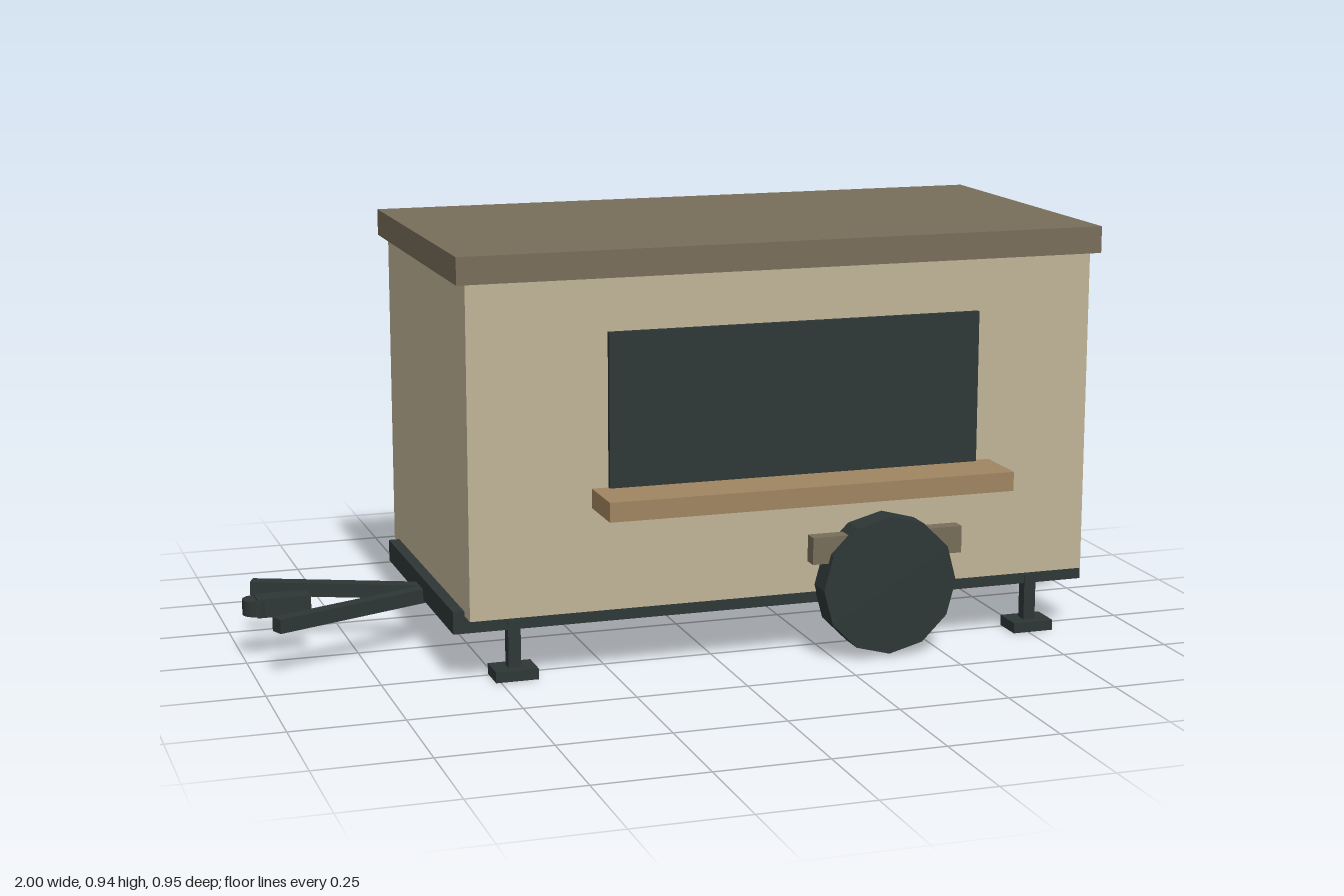
import * as THREE from 'three';

const material = (name, color) => {
  const m = new THREE.MeshStandardMaterial({ color });
  m.name = name;
  return m;
};

export function createModel() {
  const cream = material('cream', 0xbfb496);
  const brown = material('brown', 0x776d59);
  const charcoal = material('charcoal', 0x2d3636);
  const green = material('green', 0x566458);
  const wood = material('wood', 0xa08560);

  const group = new THREE.Group();
  group.name = 'foodTrailer';
  const midZ = -0.037; // centre line of the trailer

  const add = (name, geometry, mat) => {
    const mesh = new THREE.Mesh(geometry, mat);
    mesh.name = name;
    group.add(mesh);
    return mesh;
  };
  // Box given by its extents on each axis
  const box = (name, mat, [x0, x1], [y0, y1], [z0, z1]) => {
    const mesh = add(name, new THREE.BoxGeometry(x1 - x0, y1 - y0, z1 - z0), mat);
    mesh.position.set((x0 + x1) / 2, (y0 + y1) / 2, (z0 + z1) / 2);
    return mesh;
  };

  // Cabin, roof and chassis
  box('cabin', cream, [-0.573, 0.864], [0.15, 0.88], [-0.413, 0.339]);
  box('roof', brown, [-0.594, 0.885], [0.88, 0.94], [-0.427, 0.352]);
  box('chassis', charcoal, [-0.598, 0.889], [0.11, 0.16], [-0.362, 0.288]);

  // Serving side
  box('servingWindow', charcoal, [-0.263, 0.592], [0.42, 0.763], [0.339, 0.351]);
  box('counter', wood, [-0.3, 0.628], [0.38, 0.423], [0.337, 0.474]);

  // Door end
  box('door', green, [0.862, 0.876], [0.203, 0.757], [-0.265, 0.02]);
  box('doorHandle', charcoal, [0.874, 0.887], [0.452, 0.506], [-0.018, 0]);
  box('step', charcoal, [0.86, 1], [0.125, 0.166], [-0.292, 0.048]);

  for (const side of [1, -1]) {
    // Wheels and fenders
    const tire = new THREE.CylinderGeometry(0.157, 0.157, 0.067, 12).toNonIndexed();
    tire.computeVertexNormals();
    tire.rotateX(Math.PI / 2);
    add('wheel', tire, charcoal).position.set(0.37, 0.166, midZ + side * 0.404);
    const fenderZ = midZ + side * 0.404;
    box('fender', brown, [0.192, 0.546], [0.224, 0.285], [fenderZ - 0.017, fenderZ + 0.017]);

    // Stabiliser legs with foot pads
    for (const x of [-0.463, 0.762]) {
      const z = midZ + side * 0.314;
      box('legPost', charcoal, [x - 0.014, x + 0.014], [0.02, 0.13], [z - 0.014, z + 0.014]);
      box('legPad', charcoal, [x - 0.048, x + 0.048], [0, 0.024], [z - 0.037, z + 0.037]);
    }

    // Drawbar arms
    const arm = add('drawbarArm', new THREE.BoxGeometry(0.42, 0.032, 0.032), charcoal);
    arm.position.set(-0.758, 0.118, midZ + side * 0.084);
    arm.rotation.y = side * 0.39;
  }

  // Coupler
  box('couplerBody', charcoal, [-0.97, -0.85], [0.096, 0.139], [-0.064, -0.014]);
  add('couplerSocket', new THREE.CylinderGeometry(0.03, 0.03, 0.035, 12), charcoal)
    .position.set(-0.97, 0.118, midZ - 0.002);

  return group;
}
